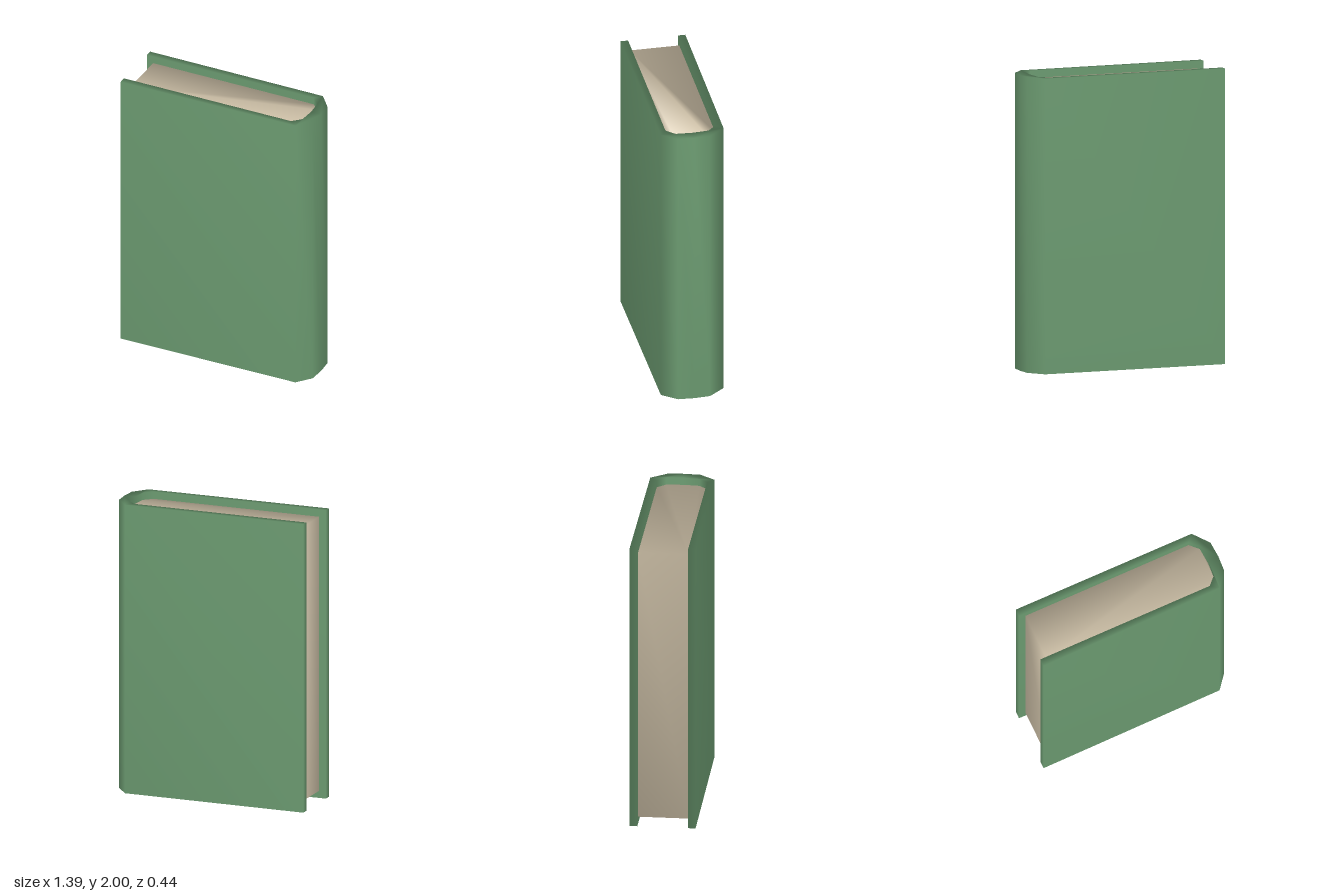
import * as THREE from 'three';
import { mergeVertices } from 'three/addons/utils/BufferGeometryUtils.js';

const coverGreen = new THREE.MeshStandardMaterial({ name: 'cover green', color: 0x6b9a70 });
const pageCream = new THREE.MeshStandardMaterial({ name: 'page cream', color: 0xd8cab0 });

// Upright solid from an (x, z) outline, with normals smoothed over shared corners
function prism(name, outline, bottom, top, material) {
  const shape = new THREE.Shape(outline.map(([x, z]) => new THREE.Vector2(x, -z)));
  let geometry = new THREE.ExtrudeGeometry(shape, { depth: top - bottom, bevelEnabled: false });
  geometry.rotateX(-Math.PI / 2).translate(0, bottom, 0);
  geometry.deleteAttribute('uv');
  geometry.deleteAttribute('normal');
  geometry = mergeVertices(geometry);
  geometry.clearGroups();
  geometry.computeVertexNormals();
  const mesh = new THREE.Mesh(geometry, material);
  mesh.name = name;
  return mesh;
}

export function createModel() {
  const book = new THREE.Group();
  book.name = 'book';

  // Faceted round of the spine, outside and inside, from front to back
  const outerSpine = [[0.608, 0.21], [0.688, 0.11], [0.695, 0], [0.688, -0.11], [0.6, -0.22]];
  const innerSpine = [[0.555, 0.168], [0.612, 0.11], [0.62, 0], [0.612, -0.115], [0.555, -0.172]];

  // Both boards and the spine in one folded strip
  const cover = [
    [-0.695, 0.22], ...outerSpine, [-0.695, -0.223],
    [-0.695, -0.172], ...[...innerSpine].reverse(), [-0.695, 0.168],
  ];
  book.add(prism('cover', cover, 0, 2, coverGreen));

  // Page block, set back from the three open edges
  const pages = [[-0.647, 0.168], ...innerSpine, [-0.647, -0.172]];
  book.add(prism('pages', pages, 0.05, 1.95, pageCream));

  return book;
}
